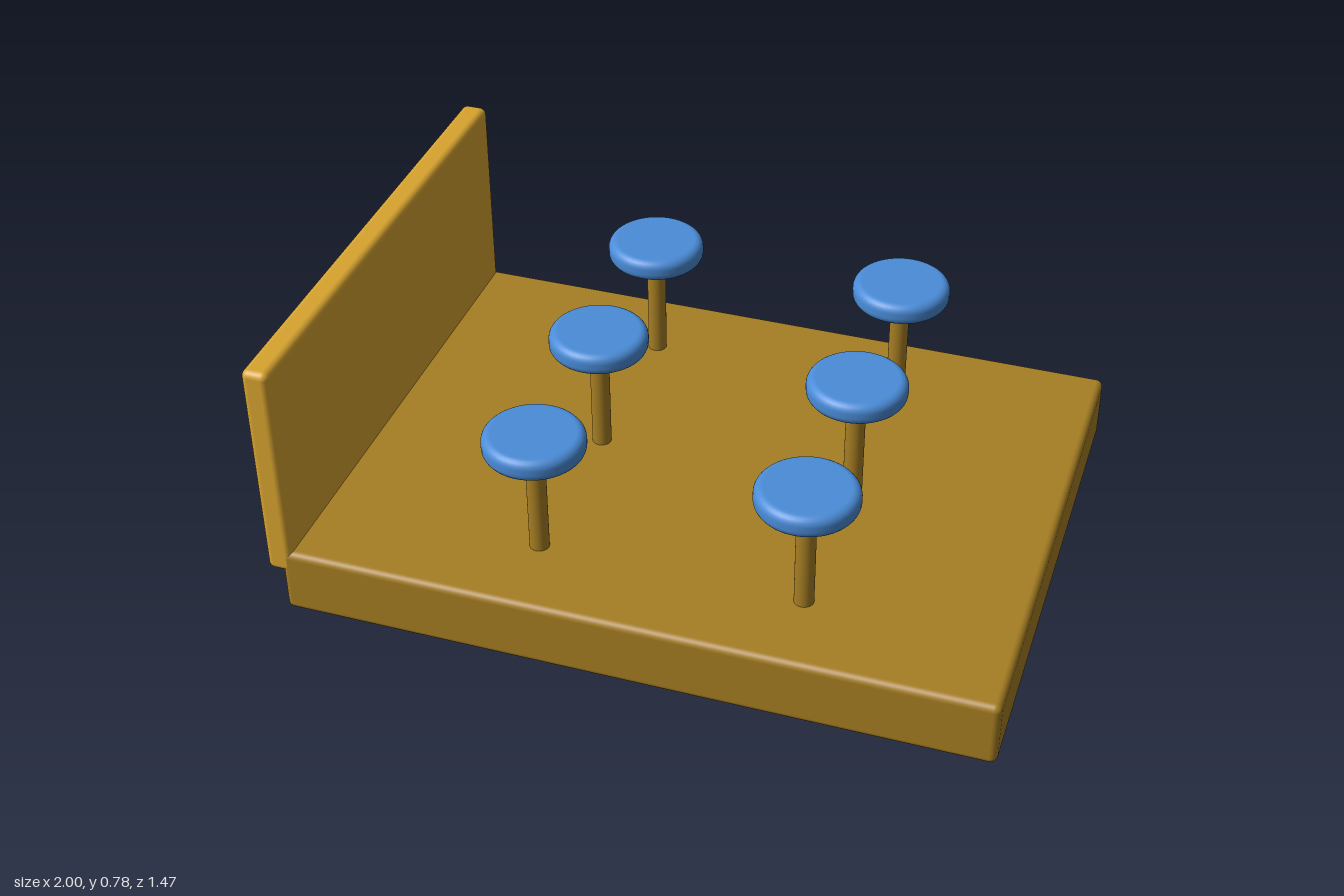
import * as THREE from 'three';
import { RoundedBoxGeometry } from 'three/addons/geometries/RoundedBoxGeometry.js';

const material = (name, color) => new THREE.MeshStandardMaterial({ name, color });

export function createModel() {
  const model = new THREE.Group();
  const darkWood = material('dark wood', 0xa67e23);
  const lightWood = material('light wood', 0xd8a430);
  const blue = material('blue', 0x4a8cd8);

  const add = (name, geometry, mat, x, y, z, parent = model) => {
    const mesh = new THREE.Mesh(geometry, mat);
    mesh.name = name;
    mesh.position.set(x, y, z);
    parent.add(mesh);
    return mesh;
  };

  // Thick floor slab and the upright panel along its right edge
  add('base', new RoundedBoxGeometry(1.957, 0.195, 1.465, 4, 0.02), darkWood, 0.0215, 0.0975, 0);
  add('backPanel', new RoundedBoxGeometry(0.076, 0.65, 1.465, 4, 0.02), lightWood, -0.962, 0.453, 0);

  // Round cushion with softened rims, turned from a half profile
  const radius = 0.138, half = 0.0325, rim = 0.025;
  const profile = [new THREE.Vector2(0, -half)];
  for (const side of [-1, 1]) {
    for (let i = 0; i <= 6; i++) {
      const a = (side < 0 ? i - 6 : i) * Math.PI / 12;
      profile.push(new THREE.Vector2(
        radius - rim + rim * Math.cos(a), side * (half - rim) + rim * Math.sin(a)));
    }
  }
  profile.push(new THREE.Vector2(0, half));
  const seatGeometry = new THREE.LatheGeometry(profile, 48);
  const postGeometry = new THREE.CylinderGeometry(0.027, 0.027, 0.36, 32);

  // Two rows of three stools
  for (const x of [-0.308, 0.427]) {
    for (const z of [-0.49, 0, 0.49]) {
      const stool = new THREE.Group();
      stool.name = 'stool';
      stool.position.set(x, 0, z);
      add('post', postGeometry, darkWood, 0, 0.35, 0, stool);
      add('seat', seatGeometry, blue, 0, 0.542, 0, stool);
      model.add(stool);
    }
  }
  return model;
}
